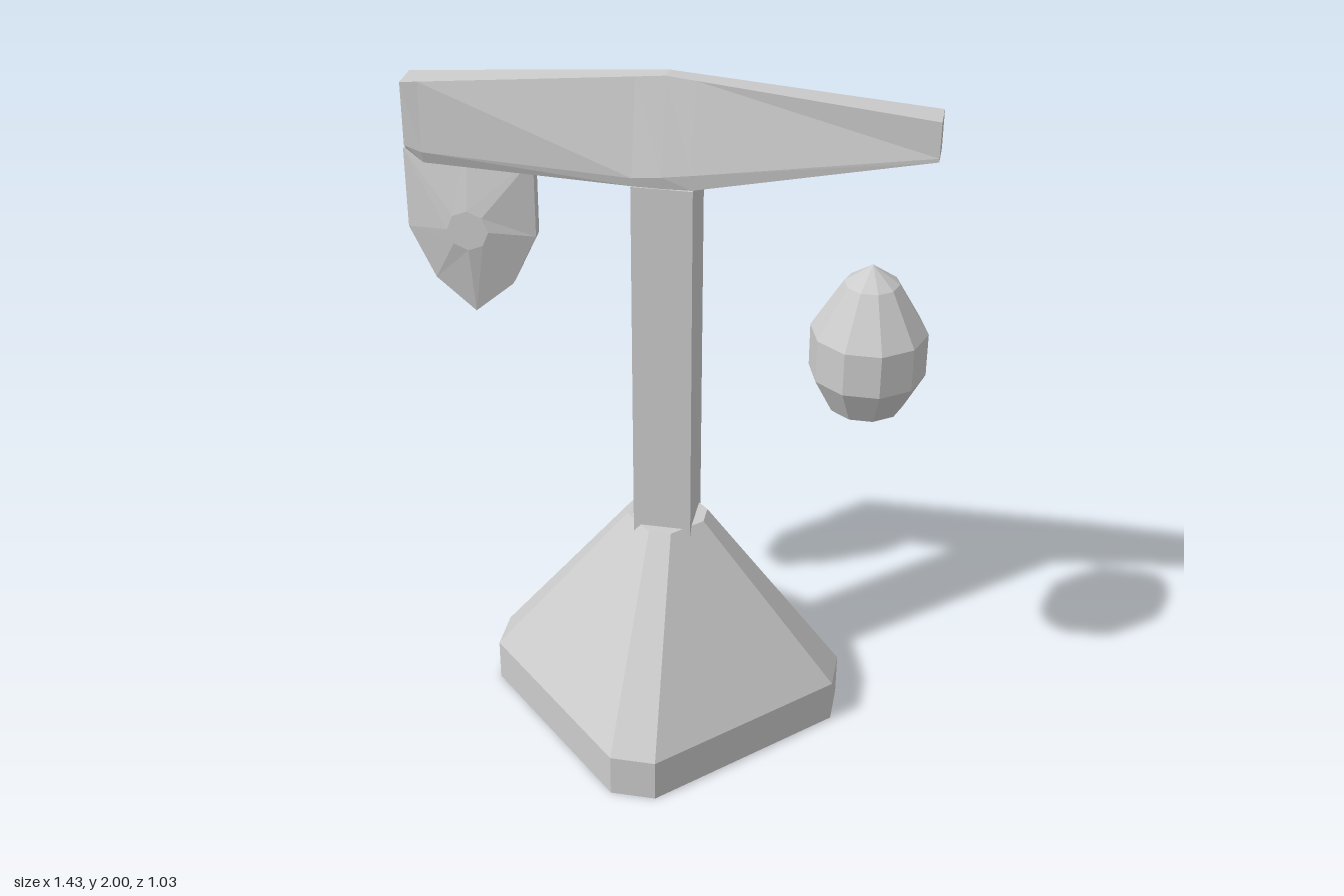
import * as THREE from 'three';

// Skin a series of equal-length rings; each ring runs counter-clockwise about the direction of travel.
function loft(rings) {
  const pos = [];
  const tri = (a, b, c) => pos.push(...a, ...b, ...c);
  const n = rings[0].length;
  for (let i = 0; i < rings.length - 1; i++) {
    for (let j = 0; j < n; j++) {
      const k = (j + 1) % n;
      const [a, b, c, d] = [rings[i][j], rings[i][k], rings[i + 1][k], rings[i + 1][j]];
      tri(a, b, c);
      tri(a, c, d);
    }
  }
  const first = rings[0], last = rings[rings.length - 1];
  for (let j = 1; j < n - 1; j++) {
    tri(first[0], first[j + 1], first[j]);
    tri(last[0], last[j], last[j + 1]);
  }
  const g = new THREE.BufferGeometry();
  g.setAttribute('position', new THREE.Float32BufferAttribute(pos, 3));
  g.computeVertexNormals();
  return g;
}

export function createModel() {
  const group = new THREE.Group();
  const grey = new THREE.MeshStandardMaterial({ color: 0xcccccc, flatShading: true });
  grey.name = 'lightGrey';
  const add = (name, geometry) => {
    const mesh = new THREE.Mesh(geometry, grey);
    mesh.name = name;
    group.add(mesh);
    return mesh;
  };

  // Foot: diamond plan with cut corners, short upright rim, then a taper
  const plan = (y, h, k) => [
    [k, h], [h, k], [h, -k], [k, -h], [-k, -h], [-h, -k], [-h, k], [-k, h],
  ].map(([x, z]) => [x, y, z]);
  add('base', loft([plan(0, 0.515, 0.065), plan(0.13, 0.515, 0.065), plan(0.645, 0.113, 0.032)]));

  // Square post
  add('post', new THREE.BoxGeometry(0.166, 1.15, 0.166)).position.y = 1.135;

  // Crossbeam: each section gives x, then height and half depth of top, shoulder and underside
  const section = ([x, ty, tz, my, mz, by, bz]) => [
    [x, ty, -tz], [x, ty, tz], [x, my, mz], [x, by, bz], [x, by, -bz], [x, my, -mz],
  ];
  add('crossbeam', loft([
    [-0.708, 1.938, 0.045, 1.76, 0.045, 1.745, 0.03],
    [-0.66, 1.942, 0.043, 1.745, 0.048, 1.71, 0.035],
    [-0.08, 1.993, 0.025, 1.735, 0.083, 1.71, 0.078],
    [0, 2, 0.022, 1.745, 0.087, 1.71, 0.08],
    [0.08, 1.993, 0.025, 1.755, 0.083, 1.712, 0.08],
    [0.708, 1.938, 0.045, 1.84, 0.045, 1.83, 0.045],
  ].map(section)));

  // Hanging shield: bevelled flat back, faceted front rising to a small boss
  const cx = -0.54, cy = 1.53;
  const outline = [
    [0, 1.265], [0.11, 1.36], [0.18, 1.51], [0.18, 1.74],
    [0, 1.79], [-0.18, 1.74], [-0.18, 1.51], [-0.11, 1.36],
  ];
  const shield = (z, s) => outline.map(([x, y]) => [cx + x * s, cy + (y - cy) * s, z]);
  const boss = outline.map((_, i) => {
    const a = -Math.PI / 2 + (i * Math.PI) / 4;
    return [cx + 0.058 * Math.cos(a), cy + 0.058 * Math.sin(a), 0.062];
  });
  add('hangingShield', loft([shield(-0.035, 0.92), shield(-0.015, 1), shield(0.02, 1), boss]));

  // Free-floating ten-sided egg
  const profile = [
    [0, 1.06], [0.105, 1.08], [0.16, 1.185], [0.16, 1.31], [0.075, 1.452], [0, 1.505],
  ].map(([r, y]) => new THREE.Vector2(r, y));
  add('egg', new THREE.LatheGeometry(profile, 10, Math.PI / 2)).position.x = 0.555;

  return group;
}
